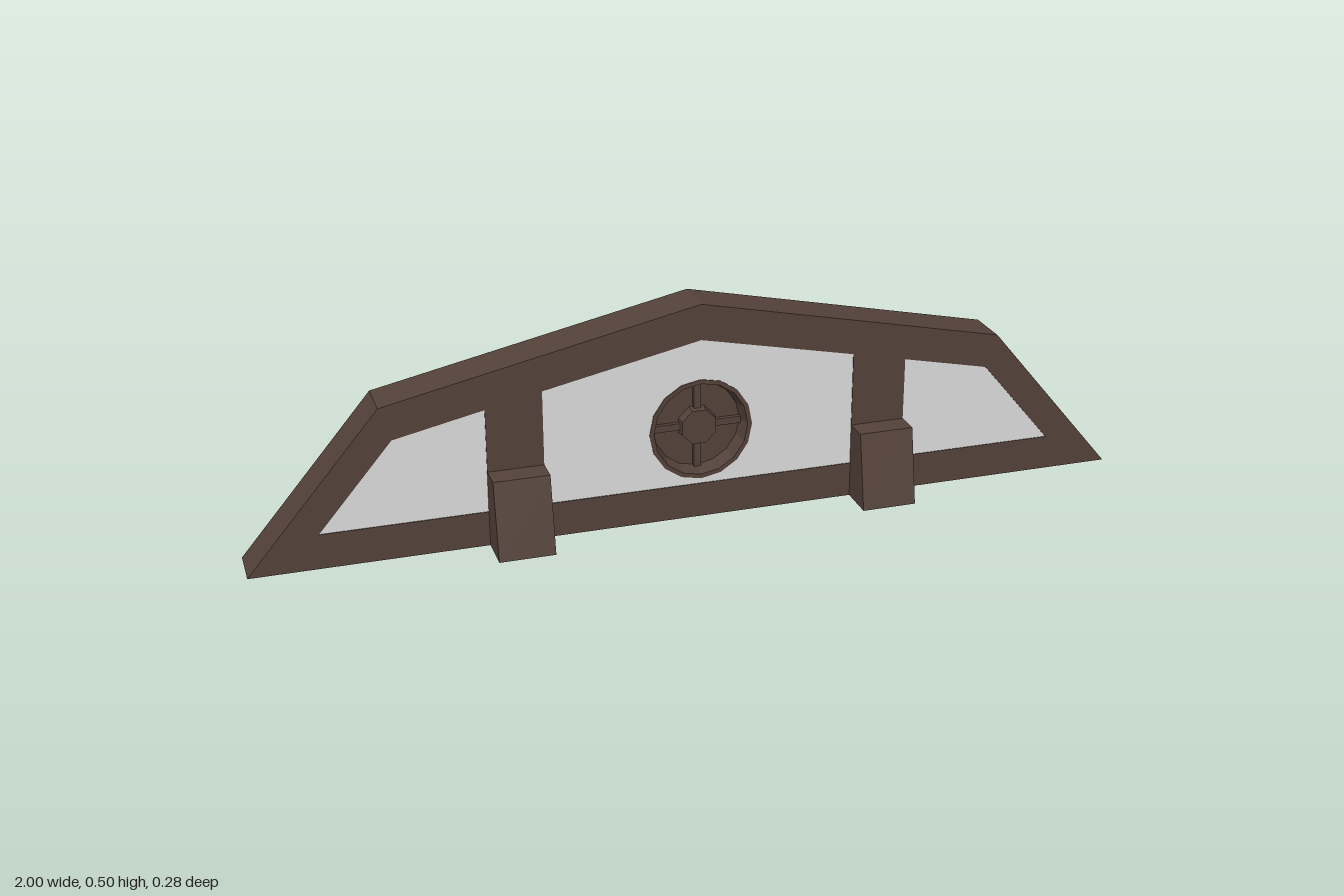
import * as THREE from 'three';

export function createModel() {
  const model = new THREE.Group();
  const wood = new THREE.MeshStandardMaterial({ color: 0x54423a, flatShading: true, side: THREE.DoubleSide });
  wood.name = 'dark brown wood';
  const pane = new THREE.MeshStandardMaterial({ color: 0xdcdcdc, flatShading: true });
  pane.name = 'light grey panel';
  const HALF = 0.052, HUB_Y = 0.21;

  const add = (name, geometry, material) => {
    const mesh = new THREE.Mesh(geometry, material);
    mesh.name = name;
    model.add(mesh);
    return mesh;
  };
  const points = (list) => list.map(([x, y]) => new THREE.Vector2(x, y));
  const extrude = (shape, half) =>
    new THREE.ExtrudeGeometry(shape, { depth: half * 2, bevelEnabled: false, curveSegments: 16 }).translate(0, 0, -half);

  // Frame outline and its three openings
  const centre = [[-0.355, 0.08], [0.355, 0.08], [0.355, 0.345], [0, 0.42], [-0.355, 0.345]];
  const right = [[0.48, 0.08], [0.845, 0.08], [0.68, 0.275], [0.48, 0.318]];
  const left = right.map(([x, y]) => [-x, y]).reverse();
  const openings = [centre, right, left];
  const frame = new THREE.Shape(points([[-1, 0], [1, 0], [0.705, 0.35], [0, 0.502], [-0.705, 0.35]]));
  openings.forEach((o) => frame.holes.push(new THREE.Path(points(o))));
  add('frame', extrude(frame, HALF), wood);

  // Panels filling the openings, the middle one pierced for the porthole
  openings.forEach((o, i) => {
    const shape = new THREE.Shape(points(o));
    if (i === 0) shape.holes.push(new THREE.Path().absarc(0, HUB_Y, 0.114, 0, Math.PI * 2, true));
    add(['centrePanel', 'leftPanel', 'rightPanel'][i], extrude(shape, HALF - 0.002), pane);
  });

  // Porthole: flared rim, recessed disc, spokes and hub
  const rim = new THREE.LatheGeometry(points([[0.118, -HALF], [0.108, -HALF], [0.098, 0], [0.108, HALF], [0.118, HALF], [0.118, -HALF]]), 16);
  add('portholeRim', rim.rotateX(Math.PI / 2), wood).position.y = HUB_Y;
  const disc = new THREE.CylinderGeometry(0.1, 0.1, 0.02, 16).rotateX(Math.PI / 2);
  add('portholeDisc', disc, wood).position.set(0, HUB_Y, 0.005);
  for (let i = 0; i < 4; i++) {
    const spoke = new THREE.BoxGeometry(0.06, 0.016, 0.036).translate(0.07, 0, 0.007).rotateZ((i * Math.PI) / 2);
    add('spoke', spoke, wood).position.y = HUB_Y;
  }
  const hub = new THREE.CylinderGeometry(0.042, 0.048, 0.052, 8).rotateY(Math.PI / 8).rotateX(Math.PI / 2);
  add('hub', hub, wood).position.set(0, HUB_Y, 0.012);

  // Tapered feet passing through the frame at both posts
  const profile = new THREE.Shape(points([[-0.14, 0], [0.14, 0], [0.107, 0.174], [-0.107, 0.174]]));
  for (const side of [-1, 1]) {
    const foot = extrude(profile, 0.0625).rotateY(Math.PI / 2);
    add(side > 0 ? 'leftFoot' : 'rightFoot', foot, wood).position.x = side * 0.4175;
  }
  return model;
}
